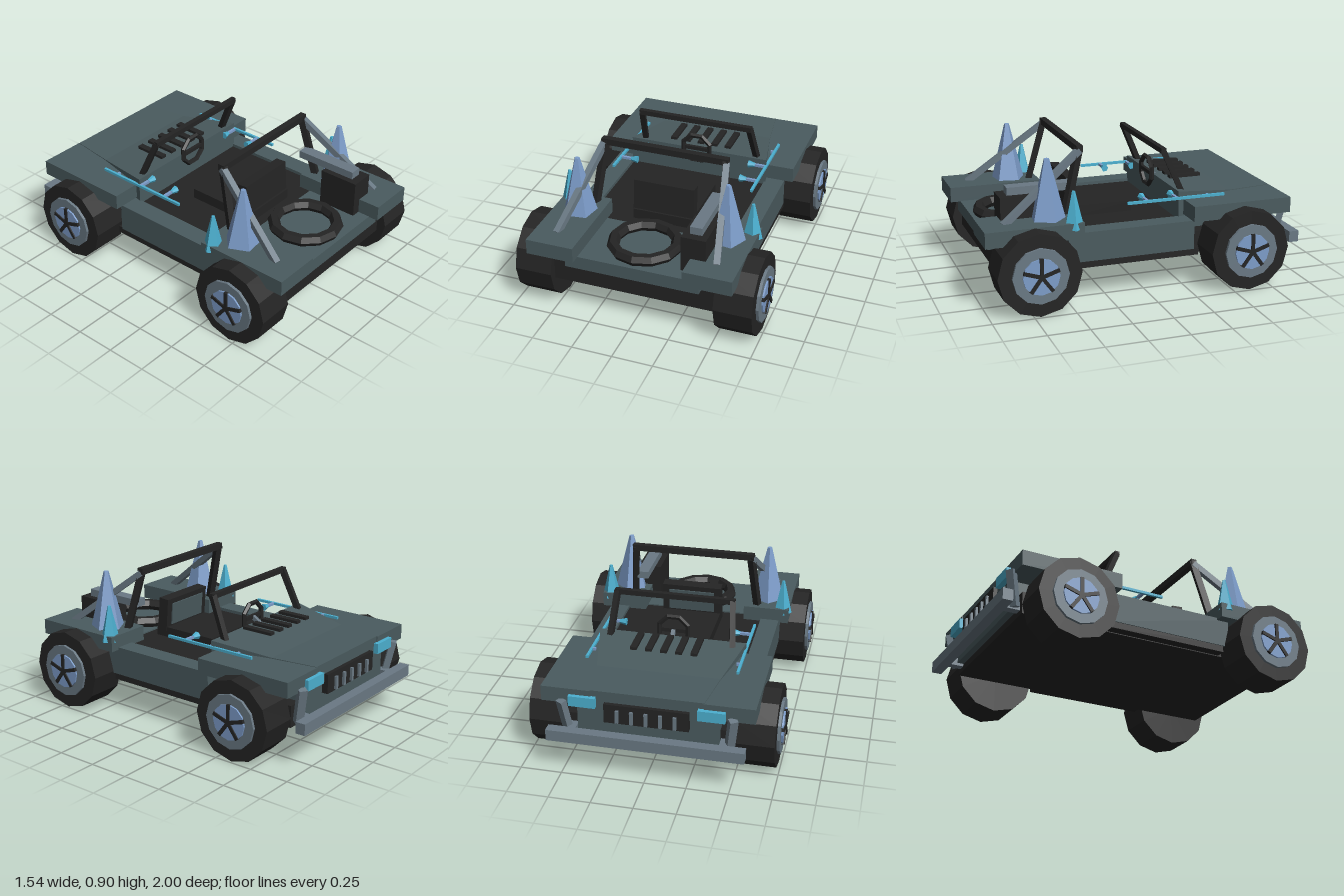
import * as THREE from 'three';

const mat = (name, color, extra = {}) => {
  const m = new THREE.MeshStandardMaterial({ color, flatShading: true, ...extra });
  m.name = name;
  return m;
};

export function createModel() {
  const root = new THREE.Group();
  root.name = 'openBuggy';
  const body = mat('slateGreen', 0x4a5b5f);
  const black = mat('black', 0x242424);
  const steel = mat('steelGrey', 0x6a7984);
  const blue = mat('paleBlue', 0x7d9dca);
  const cyan = mat('cyan', 0x4cb0d0);

  const add = (name, geo, material, parent = root) => {
    const m = new THREE.Mesh(geo, material);
    m.name = name;
    parent.add(m);
    return m;
  };
  // Box given by its limits on each axis
  const block = (name, material, x0, x1, y0, y1, z0, z1, parent) => {
    const m = add(name, new THREE.BoxGeometry(Math.abs(x1 - x0), y1 - y0, z1 - z0), material, parent);
    m.position.set((x0 + x1) / 2, (y0 + y1) / 2, (z0 + z1) / 2);
    return m;
  };
  // Square bar between two points
  const bar = (name, material, a, b, w, h = w) => {
    const p = new THREE.Vector3(...a), q = new THREE.Vector3(...b);
    const m = add(name, new THREE.BoxGeometry(w, h, p.distanceTo(q)), material);
    m.position.copy(p).add(q).multiplyScalar(0.5);
    m.lookAt(q);
    return m;
  };

  // Chassis, tub and rear deck
  block('chassis', black, -0.505, 0.505, 0.195, 0.33, -0.85, 0.9);
  block('underbody', black, -0.565, 0.565, 0.2, 0.245, -0.33, 0.45);
  block('floor', black, -0.45, 0.45, 0.32, 0.4, -0.27, 0.49);
  block('rearDeck', body, -0.415, 0.415, 0.325, 0.408, 0.49, 0.94);
  block('nose', body, -0.42, 0.42, 0.24, 0.44, -0.89, -0.27);

  // Tapered hood from three cross-sections: z, half width, top height
  const sections = [[-0.24, 0.46, 0.577], [-0.62, 0.375, 0.53], [-0.905, 0.335, 0.528]];
  const pos = [], idx = [];
  for (const [z, w, y] of sections) pos.push(-w, 0.4, z, -w, y, z, w, y, z, w, 0.4, z);
  for (let s = 0; s < 2; s++) {
    for (let k = 0; k < 4; k++) {
      const a = s * 4 + k, b = s * 4 + (k + 1) % 4;
      idx.push(a, b, a + 4, b, b + 4, a + 4);
    }
  }
  idx.push(0, 2, 1, 0, 3, 2, 8, 9, 10, 8, 10, 11);
  const hoodGeo = new THREE.BufferGeometry();
  hoodGeo.setAttribute('position', new THREE.Float32BufferAttribute(pos, 3));
  hoodGeo.setIndex(idx);
  hoodGeo.computeVertexNormals();
  add('hood', hoodGeo, mat('slateGreen', 0x4a5b5f, { side: THREE.DoubleSide }));
  for (let i = -2; i <= 2; i++) {
    const x = i * 0.0925;
    block('hoodVent', black, x - 0.02, x + 0.02, 0.588, 0.606, -0.49, -0.285);
  }

  // Grille and bumper
  block('grille', black, -0.25, 0.25, 0.34, 0.46, -0.93, -0.88);
  for (let i = -2; i <= 2; i++) {
    const x = i * 0.085;
    block('grilleBar', steel, x - 0.01, x + 0.01, 0.35, 0.43, -0.945, -0.92);
  }
  block('bumper', steel, -0.585, 0.585, 0.215, 0.285, -1, -0.937);

  // Seat
  block('seatCushion', black, -0.19, 0.19, 0.39, 0.465, -0.03, 0.42);
  const seatBack = new THREE.Group();
  seatBack.name = 'seatBack';
  seatBack.position.set(0, 0.44, 0.375);
  seatBack.rotation.x = -0.08;
  root.add(seatBack);
  block('backrest', black, -0.193, 0.193, 0, 0.213, -0.035, 0.035, seatBack);
  block('backrestPanel', body, -0.15, 0.15, 0.04, 0.18, -0.043, -0.035, seatBack);

  // Steering wheel
  const steering = add('steeringWheel', new THREE.TorusGeometry(0.095, 0.016, 5, 8), black);
  steering.rotation.z = Math.PI / 8;
  steering.position.set(0, 0.6, -0.205);
  block('steeringSpoke', black, -0.09, 0.09, 0.588, 0.612, -0.215, -0.195);
  bar('steeringColumn', steel, [0, 0.6, -0.205], [0, 0.54, -0.3], 0.025);

  // Spare tyre lying on the deck
  const spare = add('spareTyre', new THREE.TorusGeometry(0.193, 0.038, 6, 12), black);
  spare.rotation.x = Math.PI / 2;
  spare.position.set(0, 0.437, 0.7);

  // Cargo on the left rear
  block('cargoBox', black, 0.278, 0.428, 0.408, 0.635, 0.61, 0.86);
  block('cargoBeam', steel, 0.315, 0.39, 0.635, 0.682, 0.41, 0.81);

  // Cross bars
  block('windshieldTopBar', black, -0.375, 0.375, 0.8, 0.832, -0.19, -0.158);
  block('rollBarTop', black, -0.4, 0.4, 0.86, 0.9, 0.347, 0.387);

  const wheel = (s, z) => {
    const g = new THREE.Group();
    g.name = 'wheel';
    g.position.set(0, 0.25, z);
    root.add(g);
    const disc = (name, material, r, x0, x1) => {
      const m = add(name, new THREE.CylinderGeometry(r, r, x1 - x0, 12), material, g);
      m.rotation.z = Math.PI / 2;
      m.position.x = s * (x0 + x1) / 2;
    };
    disc('tyre', black, 0.25, 0.505, 0.735);
    disc('rim', steel, 0.168, 0.7, 0.752);
    disc('hub', blue, 0.11, 0.74, 0.762);
    for (let i = 0; i < 5; i++) {
      const a = i * Math.PI * 2 / 5;
      const m = add('wheelSpoke', new THREE.BoxGeometry(0.02, 0.11, 0.022), black, g);
      m.position.set(s * 0.76, Math.cos(a) * 0.055, Math.sin(a) * 0.055);
      m.rotation.x = a;
    }
  };

  const spike = (name, material, x, y, z, r, h, tip, turn) => {
    const m = add(name, new THREE.CylinderGeometry(tip, r, h, 5), material);
    m.position.set(x, y + h / 2, z);
    m.rotation.y = turn;
  };

  // Mirrored parts
  for (const s of [-1, 1]) {
    wheel(s, 0.71);
    wheel(s, -0.6);
    block('sill', body, s * 0.45, s * 0.57, 0.24, 0.42, -0.3, 0.49);
    block('rearFender', body, s * 0.335, s * 0.63, 0.405, 0.5, 0.41, 1);
    block('frontFender', body, s * 0.33, s * 0.63, 0.43, 0.525, -0.91, -0.275);

    // Front lamps and bumper struts
    block('headlight', cyan, s * 0.3, s * 0.46, 0.425, 0.49, -0.935, -0.9);
    bar('bumperStrut', steel, [s * 0.48, 0.235, -0.885], [s * 0.505, 0.45, -0.925], 0.05, 0.04);
    bar('bumperMount', steel, [s * 0.45, 0.25, -0.84], [s * 0.45, 0.25, -0.95], 0.05);

    // Windshield frame and roll cage
    bar('windshieldPost', black, [s * 0.385, 0.53, -0.3], [s * 0.36, 0.82, -0.174], 0.034);
    bar('rollBarPost', black, [s * 0.425, 0.4, 0.49], [s * 0.38, 0.885, 0.367], 0.04);
    bar('rollBarBrace', steel, [s * 0.495, 0.49, 0.86], [s * 0.385, 0.87, 0.367], 0.038);

    // Rear spikes
    spike('largeSpike', blue, s * 0.47, 0.49, 0.59, 0.11, 0.37, 0.016, s * 0.5);
    spike('smallSpike', cyan, s * 0.585, 0.46, 0.465, 0.062, 0.225, 0.01, s * 0.3);

    // Side rail with its pegs
    block('sideRail', cyan, s * 0.452, s * 0.468, 0.527, 0.543, -0.54, 0.09);
    for (const z of [-0.23, -0.04]) {
      block('railPeg', blue, s * 0.38, s * 0.46, 0.527, 0.543, z - 0.009, z + 0.009);
      const knob = add('railKnob', new THREE.CylinderGeometry(0.012, 0.024, 0.045, 6), cyan);
      knob.position.set(s * 0.367, 0.535, z);
      knob.rotation.z = -s * Math.PI / 2;
    }
    block('railPeg', blue, s * 0.435, s * 0.46, 0.527, 0.543, -0.44, -0.425);
  }
  return root;
}
